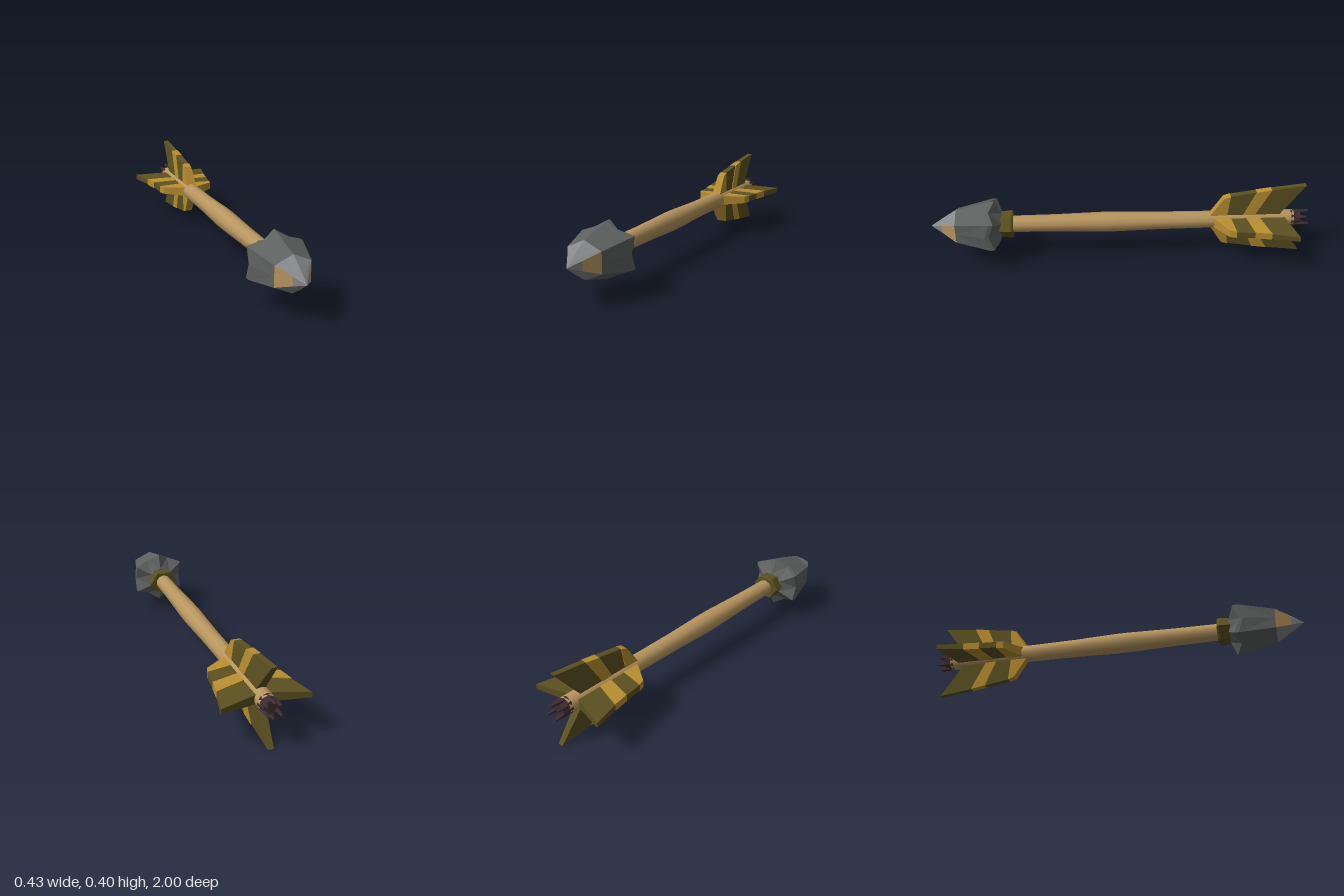
import * as THREE from 'three';

const mat = (name, color) => {
  const m = new THREE.MeshStandardMaterial({ color });
  m.name = name;
  return m;
};

// Faceted skin over cross-sections ordered back to front, each anticlockwise seen from +z.
// pick(ring, side) chooses the material index of each facet.
function loft(rings, pick = () => 0, caps = true) {
  const buckets = [];
  const tri = (i, ...pts) => (buckets[i] ??= []).push(...pts);
  const n = rings[0].length;
  for (let r = 0; r < rings.length - 1; r++) {
    for (let k = 0; k < n; k++) {
      const j = (k + 1) % n, i = pick(r, k);
      const a = rings[r][k], b = rings[r][j], c = rings[r + 1][j], d = rings[r + 1][k];
      if (k % 2) tri(i, a, b, c, a, c, d);
      else tri(i, a, b, d, b, c, d);
    }
  }
  if (caps) {
    const back = rings[0], front = rings[rings.length - 1];
    for (let k = 1; k < n - 1; k++) {
      tri(0, back[0], back[k + 1], back[k]);
      tri(0, front[0], front[k], front[k + 1]);
    }
  }
  const geo = new THREE.BufferGeometry().setFromPoints(buckets.flat());
  let start = 0;
  buckets.forEach((b, i) => {
    geo.addGroup(start, b.length, i);
    start += b.length;
  });
  geo.computeVertexNormals();
  return geo;
}

export function createModel() {
  const wood = mat('wood', 0xb8965f);
  const gold = mat('gold', 0xb98f30);
  const olive = mat('olive', 0x5c5120);
  const stone = mat('dark stone', 0x5f6161);
  const paleStone = mat('pale stone', 0x868789);
  const nockBrown = mat('nock brown', 0x3d2b2f);

  const root = new THREE.Group();
  root.name = 'arrow';
  const arrow = new THREE.Group();
  arrow.name = 'arrowBody';
  arrow.position.y = 0.203;
  root.add(arrow);
  const add = (name, geo, material, parent = arrow) => {
    const mesh = new THREE.Mesh(geo, material);
    mesh.name = name;
    parent.add(mesh);
    return mesh;
  };

  // Shaft, slightly swollen in the middle
  const profile = [[0, -0.92], [0.044, -0.92], [0.045, -0.5], [0.047, -0.2], [0.053, 0.02],
    [0.053, 0.1], [0.046, 0.35], [0.043, 0.64]].map(([r, z]) => new THREE.Vector2(r, z));
  add('shaft', new THREE.LatheGeometry(profile, 10).rotateX(Math.PI / 2), wood);

  // Six-sided binding behind the head
  const hexRing = (r, z) => Array.from({ length: 6 }, (_, k) => {
    const a = k * Math.PI / 3;
    return new THREE.Vector3(Math.cos(a) * r, Math.sin(a) * r * 0.88, z);
  });
  add('binding', loft([hexRing(0.074, 0.57), hexRing(0.08, 0.58), hexRing(0.072, 0.65)]), olive);

  // Chipped stone head: corners alternate with valleys around twelve sides
  const headRing = (sideCorner, topCorner, valley, zCorner, zValley = zCorner) =>
    Array.from({ length: 12 }, (_, k) => {
      const a = k * Math.PI / 6;
      const vertical = k === 3 || k === 9, flank = k === 0 || k === 6;
      const corner = k % 2 === 1;
      const r = vertical ? topCorner : corner ? sideCorner : flank ? sideCorner * 0.866 : valley;
      return new THREE.Vector3(Math.cos(a) * r, Math.sin(a) * r, corner ? zCorner : zValley);
    });
  const headRings = [
    headRing(0.066, 0.066, 0.06, 0.63),
    headRing(0.154, 0.141, 0.122, 0.662, 0.69),
    headRing(0.156, 0.138, 0.121, 0.685, 0.71),
    headRing(0.103, 0.092, 0.084, 0.865),
    headRing(0.045, 0.044, 0.04, 0.94),
    headRing(0.001, 0.001, 0.001, 1),
  ];
  const flankSides = [0, 11, 5, 6];
  const headColour = (ring, k) => ring < 3 ? 0 : ring === 3 && flankSides.includes(k) ? 2 : 1;
  add('head', loft(headRings, headColour), [stone, paleStone, wood]);

  // Fletching: each station is [inner z, outer z, outer radius]
  const station = ([zi, zo, r], extra) => {
    const inner = 0.024 + extra, outer = 0.024 + extra - 0.05 * r;
    return [[inner, 0.02, zi], [outer, r, zo], [-outer, r, zo], [-inner, 0.02, zi]]
      .map((p) => new THREE.Vector3(...p));
  };
  const upright = [[-0.46, -0.485, 0.046], [-0.56, -0.575, 0.147], [-0.64, -0.71, 0.168],
    [-0.7, -0.79, 0.18], [-0.83, -0.97, 0.202]];
  const level = [[-0.48, -0.5, 0.05], [-0.58, -0.595, 0.157], [-0.66, -0.69, 0.168],
    [-0.73, -0.775, 0.182], [-0.865, -0.915, 0.216]];
  const addFin = (name, stations, angle) => {
    const fin = new THREE.Group();
    fin.name = name;
    fin.rotation.z = angle;
    for (let i = 0; i < 4; i++) {
      const golden = i % 2 === 0, extra = golden ? 0.003 : 0;
      const rings = [station(stations[i + 1], extra), station(stations[i], extra)];
      // Slanted shoulder at the front of each fin
      if (i === 0) {
        const [zi, zo, r] = stations[1];
        rings.splice(1, 0, station([zi + 0.03, zo + 0.035, r - 0.012], extra));
      }
      add(golden ? 'goldBand' : 'oliveBand', loft(rings), golden ? gold : olive, fin);
    }
    arrow.add(fin);
  };
  addFin('topFin', upright, 0);
  addFin('bottomFin', upright, Math.PI);
  addFin('leftFin', level, -Math.PI / 2);
  addFin('rightFin', level, Math.PI / 2);

  // Nock with splayed prongs
  const nock = new THREE.Group();
  nock.name = 'nock';
  arrow.add(nock);
  const core = new THREE.CylinderGeometry(0.046, 0.038, 0.05, 8).toNonIndexed();
  core.computeVertexNormals();
  add('nockCore', core.rotateX(Math.PI / 2).translate(0, 0, -0.93), nockBrown, nock);
  for (let k = 0; k < 6; k++) {
    const a = Math.PI / 6 + k * Math.PI / 3;
    const ring = (r, size, z) => Array.from({ length: 5 }, (_, j) => {
      const b = j * Math.PI * 0.4;
      return new THREE.Vector3(Math.cos(a) * r + Math.cos(b) * size,
        Math.sin(a) * r * 1.15 + Math.sin(b) * size, z);
    });
    add('nockProng', loft([ring(0.036, 0.006, k % 2 ? -1 : -0.985), ring(0.03, 0.015, -0.93)]), nockBrown, nock);
  }
  return root;
}
